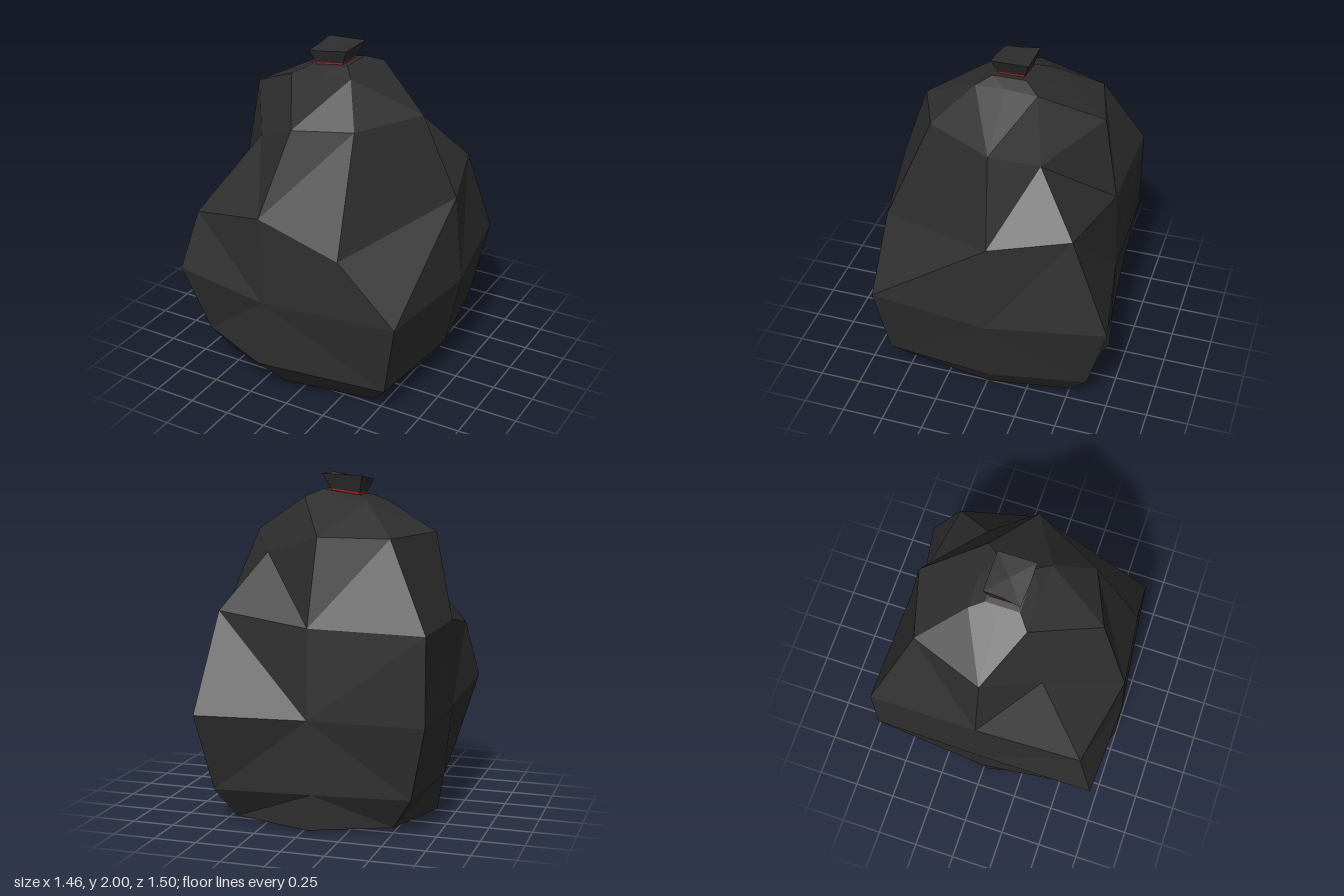
import * as THREE from 'three';

// Sack cross-sections, bottom to shoulder. Each runs front-left, front, front-right,
// right, back-right, back, back-left, left as seen facing the front (+z); points are [x, y, z].
const SACK = [
  [[-0.53, 0.07, 0.49], [-0.1, 0.04, 0.6], [0.45, 0.03, 0.5], [0.56, 0.06, -0.03],
    [0.44, 0.02, -0.52], [-0.03, 0.01, -0.64], [-0.5, 0.03, -0.5], [-0.63, 0.0, 0.03]],
  [[-0.61, 0.27, 0.62], [-0.19, 0.22, 0.75], [0.57, 0.18, 0.6], [0.65, 0.2, -0.04],
    [0.54, 0.2, -0.63], [-0.05, 0.22, -0.64], [-0.62, 0.22, -0.58], [-0.67, 0.22, 0.02]],
  [[-0.73, 0.7, 0.72], [-0.15, 0.64, 0.75], [0.66, 0.65, 0.66], [0.73, 0.64, -0.06],
    [0.61, 0.66, -0.755], [-0.03, 0.65, -0.65], [-0.71, 0.65, -0.64], [-0.72, 0.65, 0]],
  [[-0.66, 1.05, 0.62], [-0.17, 1.17, 0.73], [0.31, 1.0, 0.68], [0.68, 1.17, -0.06],
    [0.54, 1.23, -0.52], [-0.03, 1.17, -0.63], [-0.71, 1.16, -0.64], [-0.71, 1.16, 0]],
  [[-0.41, 1.47, 0.3], [-0.06, 1.66, 0.54], [0.26, 1.66, 0.4], [0.48, 1.66, -0.01],
    [0.33, 1.55, -0.27], [-0.06, 1.67, -0.54], [-0.45, 1.66, -0.43], [-0.61, 1.67, 0]],
  [[-0.28, 1.83, 0.165], [-0.085, 1.85, 0.17], [0.115, 1.87, 0.18], [0.12, 1.875, 0],
    [0.13, 1.87, -0.19], [-0.06, 1.86, -0.18], [-0.25, 1.84, -0.18], [-0.28, 1.83, -0.01]],
];

// Tilted square section with corners and edge midpoints, matching the sack's order
function squareRing(x0, x1, z, yLeft, yRight) {
  const m = (x0 + x1) / 2, ym = (yLeft + yRight) / 2;
  return [[x0, yLeft, z], [m, ym, z], [x1, yRight, z], [x1, yRight, 0],
    [x1, yRight, -z], [m, ym, -z], [x0, yLeft, -z], [x0, yLeft, 0]];
}

// Skin between rings, splitting each quad along its shorter diagonal, with optional caps
function loft(rings, capBottom, capTop) {
  const pos = [];
  const tri = (a, b, c) => pos.push(...a, ...b, ...c);
  const dist = (a, b) => Math.hypot(a[0] - b[0], a[1] - b[1], a[2] - b[2]);
  const n = rings[0].length;
  for (let r = 0; r < rings.length - 1; r++) {
    for (let i = 0; i < n; i++) {
      const j = (i + 1) % n;
      const a = rings[r][i], b = rings[r][j], c = rings[r + 1][j], d = rings[r + 1][i];
      if (dist(a, c) < dist(b, d)) { tri(a, b, c); tri(a, c, d); }
      else { tri(a, b, d); tri(b, c, d); }
    }
  }
  const cap = (ring, up) => {
    const mid = [0, 1, 2].map((k) => ring.reduce((s, p) => s + p[k], 0) / n);
    ring.forEach((p, i) => {
      const q = ring[(i + 1) % n];
      if (up) tri(p, q, mid); else tri(q, p, mid);
    });
  };
  if (capBottom) cap(rings[0], false);
  if (capTop) cap(rings[rings.length - 1], true);
  const g = new THREE.BufferGeometry();
  g.setAttribute('position', new THREE.Float32BufferAttribute(pos, 3));
  g.computeVertexNormals();
  return g;
}

export function createModel() {
  const group = new THREE.Group();
  const plastic = new THREE.MeshStandardMaterial({ color: 0x2e2e2e, flatShading: true });
  const red = new THREE.MeshStandardMaterial({ color: 0xc81e24, flatShading: true });
  const add = (name, geometry, material) => {
    const mesh = new THREE.Mesh(geometry, material);
    mesh.name = name;
    group.add(mesh);
  };

  // Lumpy sack, gathered in at the neck
  const gather = squareRing(-0.2, 0.05, 0.1, 1.87, 1.91);
  const neckLow = squareRing(-0.165, 0.005, 0.076, 1.877, 1.902);
  add('sack', loft([...SACK, gather, neckLow], true, false), plastic);

  // Thin tie around the neck
  const neckHigh = squareRing(-0.168, 0.008, 0.079, 1.888, 1.913);
  add('tie', loft([neckLow, neckHigh], false, false), red);

  // Flared end above the tie, its front-left corner drooping
  const flare = squareRing(-0.19, 0.05, 0.112, 1.99, 2.0);
  flare[0] = [-0.205, 1.96, 0.1];
  flare[1][1] = 1.98;
  flare[7][1] = 1.975;
  add('gatheredTop', loft([neckHigh, flare], false, true), plastic);

  return group;
}
